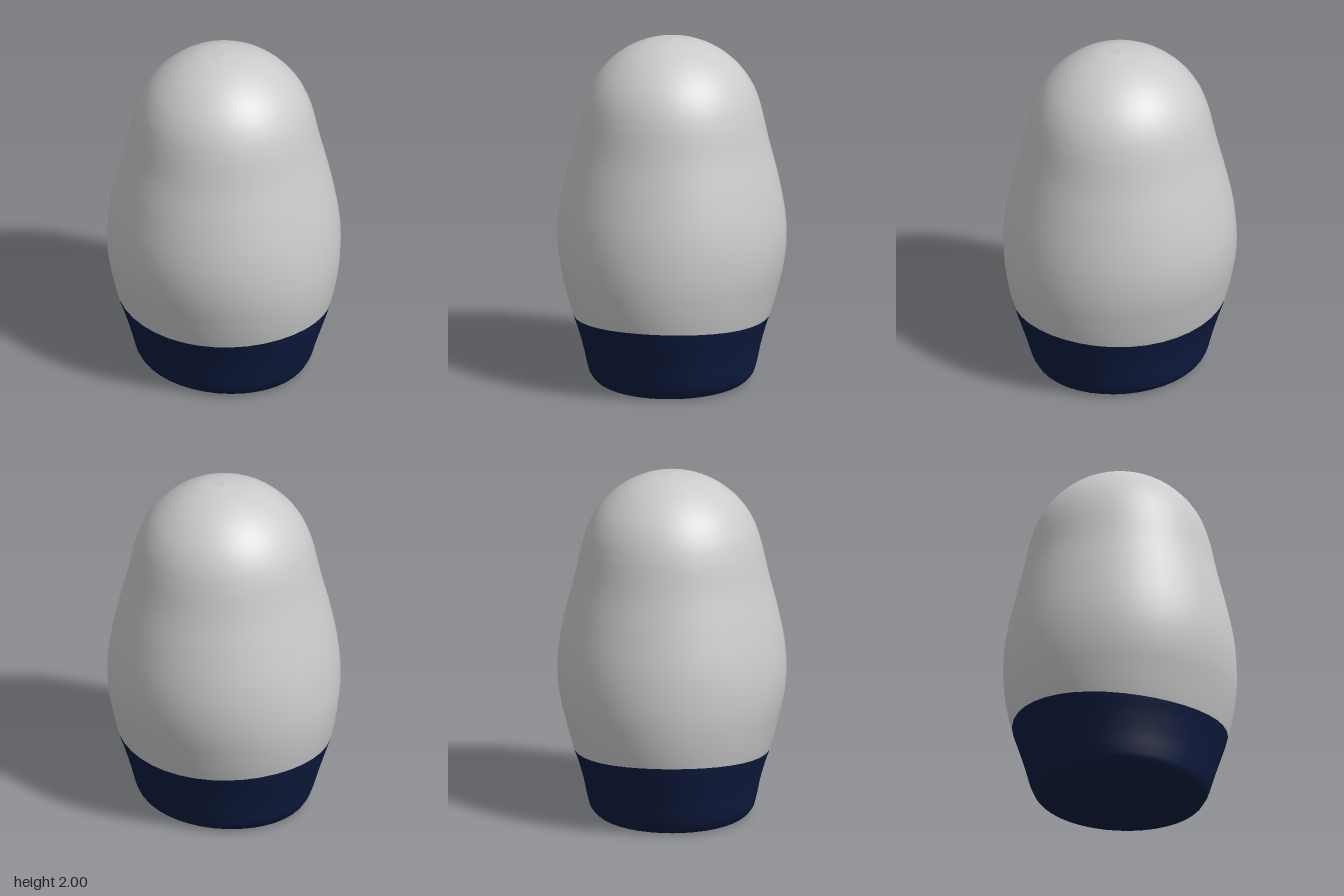
import * as THREE from 'three';
import { ParametricGeometry } from 'three/addons/geometries/ParametricGeometry.js';

// Profile from the underside centre to the crown: half width, height, half depth
const profile = new THREE.CatmullRomCurve3([
  [0.001, 0, 0.001], [0.22, 0, 0.2], [0.43, 0, 0.385], [0.475, 0.01, 0.43], [0.505, 0.05, 0.465],
  [0.526, 0.1, 0.48], [0.557, 0.2, 0.501], [0.597, 0.32, 0.534], [0.625, 0.41, 0.565],
  [0.655, 0.55, 0.603], [0.67, 0.7, 0.637], [0.666, 0.85, 0.65], [0.647, 1, 0.64],
  [0.603, 1.2, 0.602], [0.553, 1.4, 0.551], [0.509, 1.6, 0.505], [0.473, 1.7, 0.47],
  [0.412, 1.8, 0.41], [0.3, 1.905, 0.3], [0.16, 1.975, 0.16], [0.001, 2, 0.001],
].map((p) => new THREE.Vector3(...p)));

const point = new THREE.Vector3();

// Curve parameter at which the profile reaches a height
function paramAtHeight(y) {
  let low = 0.2, high = 0.7;
  for (let i = 0; i < 40; i++) {
    const mid = (low + high) / 2;
    if (profile.getPoint(mid, point).y < y) low = mid;
    else high = mid;
  }
  return low;
}

// The seam is lowest at front and back, highest at the sides
const seam = (angle) => paramAtHeight(0.41 - 0.02 * Math.cos(2 * angle));

// Elliptical skin between two limits along the profile
function skin(name, color, from, to, rows) {
  const geometry = new ParametricGeometry((u, v, target) => {
    const angle = u * Math.PI * 2;
    const t = THREE.MathUtils.lerp(from(angle), to(angle), v);
    profile.getPoint(t, point);
    target.set(point.x * Math.sin(angle), Math.max(0, point.y), point.z * Math.cos(angle));
  }, 40, rows);
  const mesh = new THREE.Mesh(geometry, new THREE.MeshStandardMaterial({ color }));
  mesh.name = name;
  return mesh;
}

export function createModel() {
  const group = new THREE.Group();
  group.name = 'roundedFigure';
  group.add(
    skin('base', 0x0e1c40, () => 0, seam, 32),
    skin('body', 0xcccccc, seam, () => 1, 48),
  );
  return group;
}
